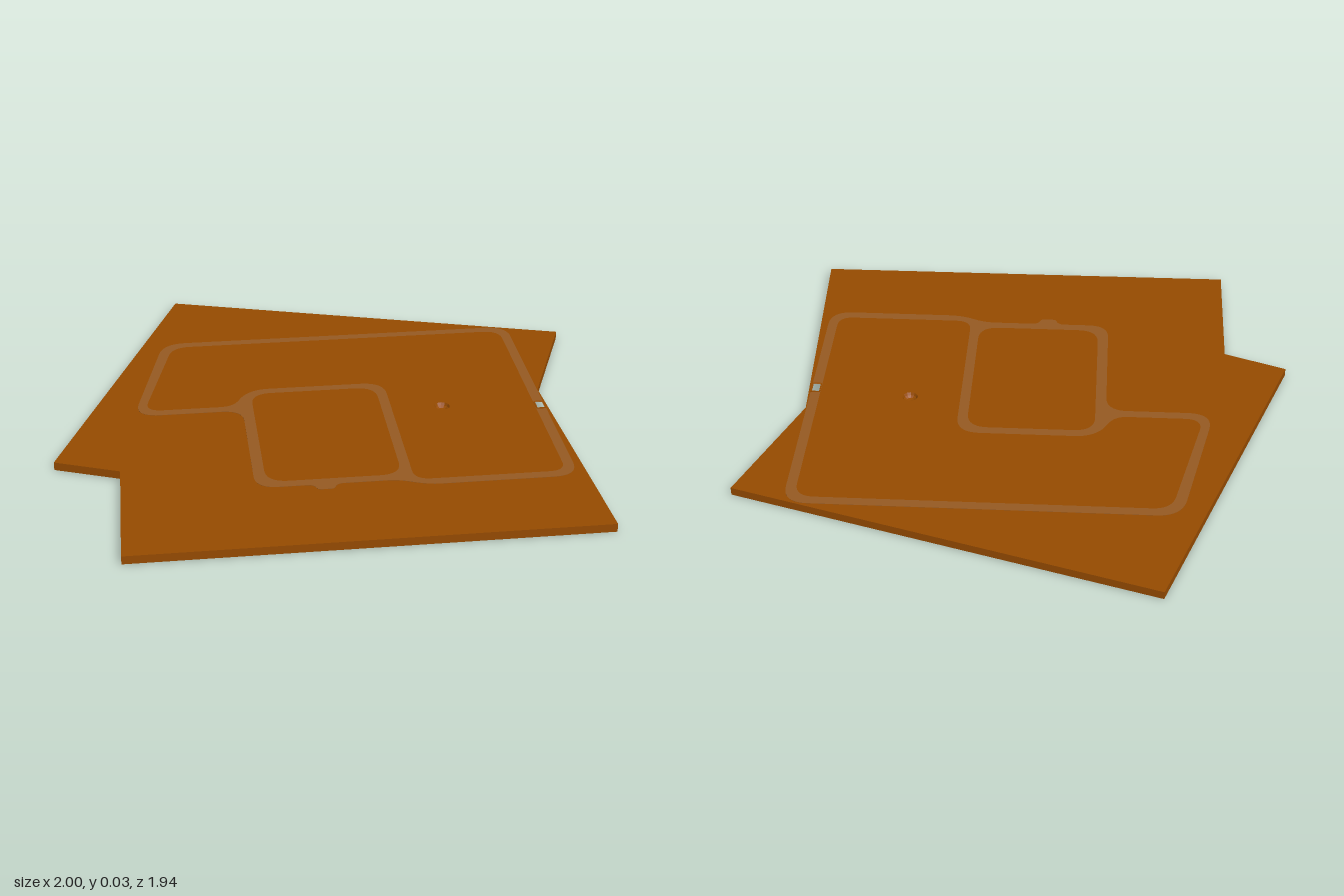
import * as THREE from 'three';

const TOP = 0.03;
const brown = () => new THREE.MeshStandardMaterial({ color: 0x964b00 });
const tan = () => new THREE.MeshStandardMaterial({ color: 0x965a22 });

// Plan points are [x, z]; shapes are drawn in (x, -z) and laid flat.
const toVec = ([x, z]) => new THREE.Vector2(x, -z);
const plan = (pts, Type = THREE.Shape) => new Type(pts.map(toVec));
const rect = (x0, z0, x1, z1) => [[x0, z0], [x1, z0], [x1, z1], [x0, z1]];

// Closed outline with rounded corners; each point is [x, z, corner radius].
function rounded(pts, Type = THREE.Shape) {
  const path = new Type();
  pts.forEach((p, i) => {
    const c = toVec(p);
    const prev = toVec(pts[(i + pts.length - 1) % pts.length]);
    const next = toVec(pts[(i + 1) % pts.length]);
    const a = prev.sub(c).setLength(p[2]).add(c);
    const b = next.sub(c).setLength(p[2]).add(c);
    if (i === 0) path.moveTo(a.x, a.y); else path.lineTo(a.x, a.y);
    path.quadraticCurveTo(c.x, c.y, b.x, b.y);
  });
  path.closePath();
  return path;
}

function slabOf(shape, depth, y, material, name) {
  const geo = new THREE.ExtrudeGeometry(shape, { depth, bevelEnabled: false, curveSegments: 10 });
  geo.rotateX(-Math.PI / 2).translate(0, y, 0);
  const mesh = new THREE.Mesh(geo, material);
  mesh.name = name;
  return mesh;
}

export function createModel() {
  const group = new THREE.Group();
  group.name = 'groundPlate';
  const slot = rect(0.775, 0.083, 0.803, 0.132);
  const pit = { x: 0.427, z: 0.07, r: 0.029 };

  // Ground plate, with a through slot and a round pit
  const ground = plan([[-0.52, -0.97], [1, -0.51], [0.81, -0.02], [0.855, 0.963],
    [-0.775, 0.968], [-0.77, 0.42], [-1, 0.33]]);
  ground.holes.push(plan(slot, THREE.Path));
  const ring = [...Array(12)].map((_, i) => {
    const a = i / 12 * Math.PI * 2;
    return [pit.x + Math.sin(a) * pit.r, pit.z + Math.cos(a) * pit.r];
  });
  ground.holes.push(plan(ring, THREE.Path));
  group.add(slabOf(ground, TOP, 0, brown(), 'ground'));

  // Bowl that closes the pit
  const profile = [[0, 0], [pit.r, 0], [pit.r, TOP], [0.024, 0.02], [0.014, 0.014], [0, 0.012]];
  const bowlMat = brown();
  bowlMat.flatShading = true;
  const bowl = new THREE.Mesh(
    new THREE.LatheGeometry(profile.map(([r, y]) => new THREE.Vector2(r, y)), 12), bowlMat);
  bowl.name = 'pitBowl';
  bowl.position.set(pit.x, 0, pit.z);
  group.add(bowl);

  // Road: outer silhouette with a stub on the lower edge, minus the two enclosed areas
  const road = rounded([
    [-0.585, -0.58, 0.09], [0.807, -0.58, 0.09], [0.807, 0.635, 0.09], [0.28, 0.635, 0.05],
    [0.18, 0.592, 0.04], [-0.03, 0.592, 0.02], [-0.045, 0.625, 0.01], [-0.1, 0.625, 0.01],
    [-0.115, 0.592, 0.02], [-0.313, 0.592, 0.08], [-0.313, 0.022, 0.08], [-0.715, 0.022, 0.1],
  ]);
  road.holes.push(rounded([
    [-0.55, -0.543, 0.07], [0.77, -0.543, 0.07], [0.77, 0.597, 0.06], [0.237, 0.597, 0.06],
    [0.237, -0.143, 0.09], [-0.28, -0.143, 0.08], [-0.345, -0.015, 0.05], [-0.675, -0.015, 0.07],
  ], THREE.Path));
  road.holes.push(rounded([
    [-0.273, -0.107, 0.08], [0.2, -0.107, 0.08], [0.2, 0.555, 0.08], [-0.273, 0.555, 0.08],
  ], THREE.Path));
  road.holes.push(plan(slot, THREE.Path));
  group.add(slabOf(road, 0.001, TOP, tan(), 'road'));

  // Thin raised rim around the slot
  const rim = plan(rect(0.771, 0.079, 0.807, 0.136));
  rim.holes.push(plan(slot, THREE.Path));
  group.add(slabOf(rim, 0.004, TOP, brown(), 'slotRim'));

  return group;
}
